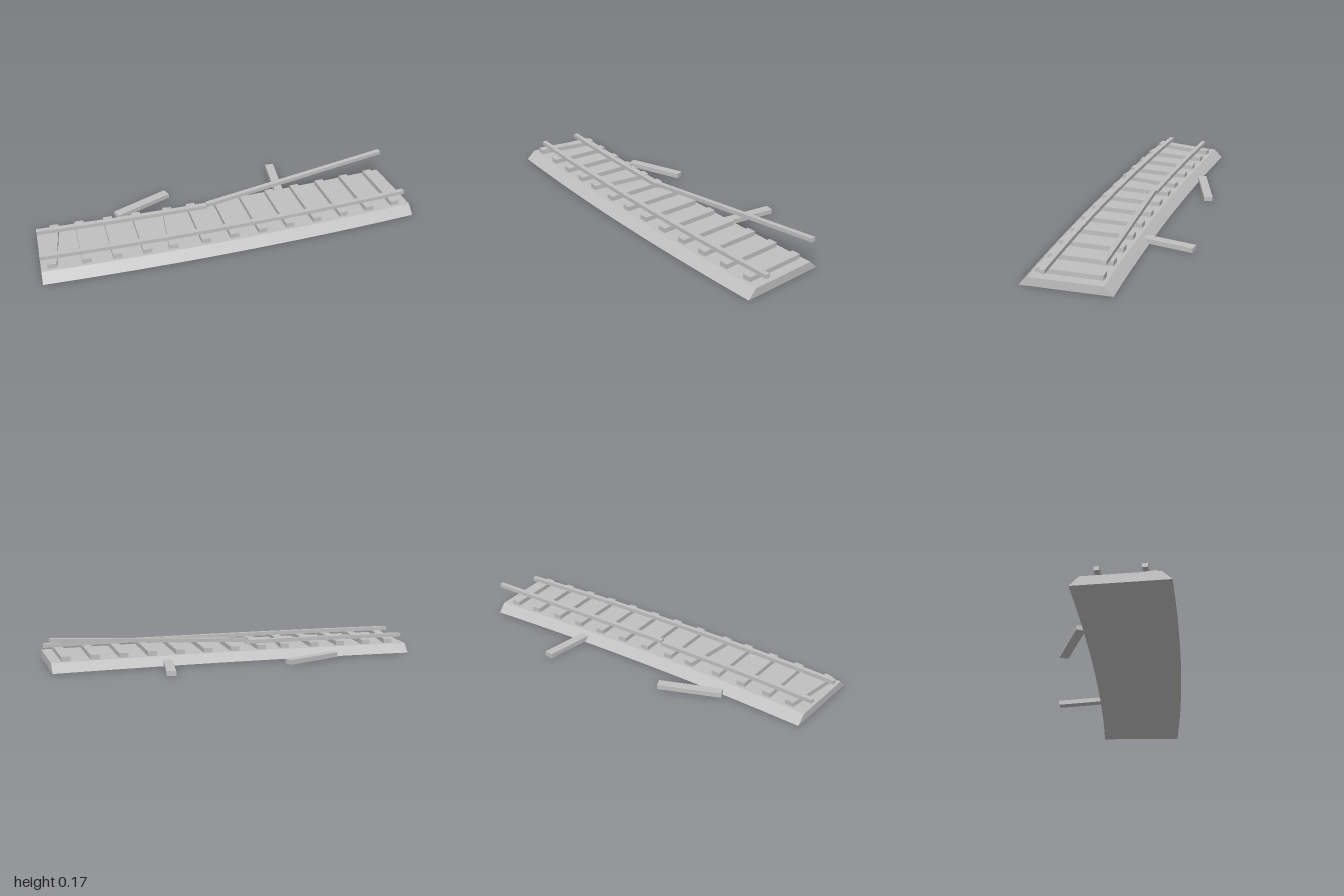
import * as THREE from 'three';

const RADIUS = 16.3, SPAN = 0.1207, MID_Z = 0.148;

// Point on the curved track: angle t along it, offset o across it, height y
function trackPoint(t, o, y) {
  return new THREE.Vector3(
    -1 + (RADIUS + o) * Math.sin(t), y,
    MID_Z - RADIUS + (RADIUS + o) * Math.cos(t));
}

// Sweeps a convex cross-section of [offset, height] points along the track
function sweep(section, tEnd, steps) {
  const points = [], index = [], n = section.length;
  for (let i = 0; i <= steps; i++) {
    for (const [o, y] of section) points.push(trackPoint(tEnd * i / steps, o, y));
  }
  for (let i = 0; i < steps; i++) {
    for (let j = 0; j < n; j++) {
      const a = i * n + j, b = i * n + (j + 1) % n;
      index.push(a, a + n, b + n, a, b + n, b);
    }
  }
  const last = steps * n;
  for (let j = 1; j < n - 1; j++) {
    index.push(0, j, j + 1, last, last + j + 1, last + j);
  }
  const indexed = new THREE.BufferGeometry().setFromPoints(points);
  indexed.setIndex(index);
  const geometry = indexed.toNonIndexed();
  geometry.computeVertexNormals();
  return geometry;
}

export function createModel() {
  const group = new THREE.Group();
  const grey = new THREE.MeshStandardMaterial({ color: 0xc0c0c0 });
  grey.name = 'grey';

  function add(name, geometry, x = 0, y = 0, z = 0, turn = 0, tilt = 0) {
    const mesh = new THREE.Mesh(geometry, grey);
    mesh.name = name;
    mesh.position.set(x, y, z);
    mesh.rotation.set(0, turn, tilt, 'YZX');
    group.add(mesh);
    return mesh;
  }

  // Gravel bed with sloping sides
  add('gravelBed', sweep([[-0.2275, 0], [0.2275, 0], [0.182, 0.045], [-0.182, 0.045]], SPAN, 12));

  // Whole front rail, and a back rail that breaks off halfway
  const railSection = (o) => [[o - 0.0125, 0.07], [o + 0.0125, 0.07], [o + 0.0125, 0.09], [o - 0.0125, 0.09]];
  add('frontRail', sweep(railSection(0.109), SPAN, 12));
  add('backRail', sweep(railSection(-0.105), 0.0556, 6));

  // Broken rail, bent outwards and up
  const start = new THREE.Vector3(-0.1, 0.09, 0.021);
  const end = new THREE.Vector3(0.945, 0.163, -0.156);
  const run = end.clone().sub(start);
  const mid = start.clone().add(end).multiplyScalar(0.5);
  add('brokenRail', new THREE.BoxGeometry(run.length(), 0.02, 0.025), mid.x, mid.y, mid.z,
    Math.atan2(-run.z, run.x), Math.atan2(run.y, Math.hypot(run.x, run.z)));

  // Sleepers, two of them knocked askew
  const sleeper = new THREE.BoxGeometry(0.047, 0.025, 0.33);
  const skew = { 0: -0.125, 4: -0.12 };
  for (let i = 0; i < 13; i++) {
    const t = (0.075 + i * 0.1512) / RADIUS;
    const p = trackPoint(t, 0, 0.0575);
    add('sleeper' + (i + 1), sleeper, p.x, p.y, p.z, t + (skew[i] || 0));
  }

  // Loose sleepers lying on the ground behind the bed
  add('looseSleeperRight', sleeper, -0.42, 0.0155, -0.166, -1.137);
  add('looseSleeperLeft', sleeper, 0.352, 0.0155, -0.213, -0.08);

  return group;
}
